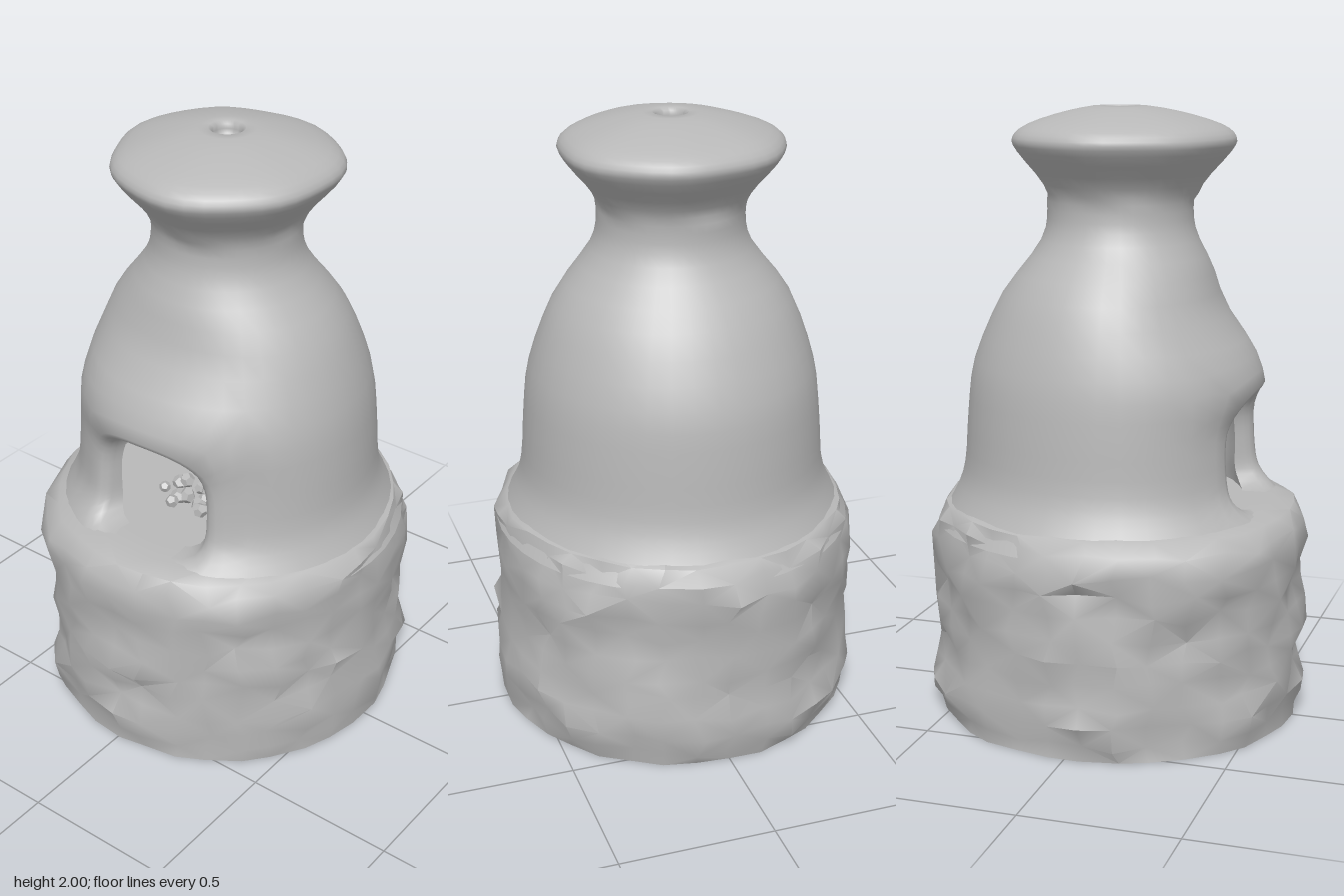
import * as THREE from 'three';
import { toCreasedNormals } from 'three/addons/utils/BufferGeometryUtils.js';

const clay = new THREE.MeshStandardMaterial({ color: 0xb8b8b8 });
clay.name = 'grey clay';

// repeatable pseudo-random number from two integers
const hash = (a, b) => {
  const s = Math.sin(a * 127.1 + b * 311.7) * 43758.5453;
  return s - Math.floor(s);
};

function addMesh(group, name, geometry) {
  const mesh = new THREE.Mesh(geometry, clay);
  mesh.name = name;
  group.add(mesh);
  return mesh;
}

function meshFromTriangles(positions, crease) {
  const g = new THREE.BufferGeometry();
  g.setAttribute('position', new THREE.Float32BufferAttribute(positions, 3));
  return toCreasedNormals(g, crease);
}

// Rough stone base: a lathe profile pushed in and out like packed rubble
function stoneBase() {
  const profile = [
    [0, 0], [0.585, 0], [0.588, 0.05], [0.6, 0.11], [0.598, 0.18], [0.59, 0.25], [0.597, 0.32],
    [0.592, 0.39], [0.592, 0.46], [0.598, 0.53], [0.606, 0.6], [0.595, 0.66], [0.56, 0.705],
    [0.5, 0.722], [0.4, 0.722], [0, 0.722],
  ];
  const segs = 34, pos = [];
  const point = (j, i) => {
    j %= segs;
    let [r, y] = profile[i];
    const rough = i > 1 && i < 12 ? 1 : i === 1 || i === 12 ? 0.4 : 0;
    const stone = hash(j >> 1, i >> 1) - 0.5;
    r += rough * (stone * 0.03 + (hash(j, i) - 0.5) * 0.03);
    if (i > 1 && i < 13) y += rough * (hash(i, j + 50) - 0.5) * 0.03;
    const a = ((j + rough * (hash(j + 9, i) - 0.5) * 0.4) / segs) * Math.PI * 2;
    return [r * Math.sin(a), y, 1.035 * r * Math.cos(a)];
  };
  for (let j = 0; j < segs; j++) {
    for (let i = 0; i < profile.length - 1; i++) {
      const a = point(j, i), b = point(j + 1, i), c = point(j + 1, i + 1), d = point(j, i + 1);
      if (i === 0) pos.push(...b, ...c, ...d);
      else if (i === profile.length - 2) pos.push(...a, ...b, ...d);
      else if ((i + j) % 2) pos.push(...a, ...b, ...d, ...b, ...c, ...d);
      else pos.push(...a, ...b, ...c, ...a, ...c, ...d);
    }
  }
  return meshFromTriangles(pos, 0.85);
}

// Bottle-shaped oven wall with an arched mouth, thick jamb, hollow inside and capped flue
function ovenBody() {
  const profile = new THREE.SplineCurve([
    [0.59, 0.64], [0.535, 0.735], [0.503, 0.83], [0.49, 1.0], [0.467, 1.18], [0.39, 1.4],
    [0.264, 1.57], [0.238, 1.67], [0.257, 1.75], [0.343, 1.855], [0.358, 1.9], [0.31, 1.94],
    [0.18, 1.98], [0.058, 1.997], [0.043, 1.96], [0, 1.935],
  ].map(p => new THREE.Vector2(...p))).getPoints(45);
  const cols = 40, half = 5, low = 1, high = 13;
  const pos = [];
  const theta = j => (j / cols) * Math.PI * 2;

  const radiusAt = y => {
    let i = 0;
    while (i < 24 && profile[i + 1].y < y) i++;
    const a = profile[i], b = profile[i + 1];
    return a.x + (b.x - a.x) * (y - a.y) / (b.y - a.y);
  };
  // domed oven chamber
  const chamberAt = y => 0.42 * Math.sqrt(Math.max(0, 1 - (Math.max(0, y - 0.88) / 0.44) ** 2));

  // point on the wall: front flattened above and beside the mouth, back fuller, cap uneven
  const place = (t, y, r) => {
    const c = Math.cos(t), front = Math.max(0, c) ** 2, back = Math.max(0, -c) ** 2;
    let k = 1 - 0.18 * front * Math.exp(-(((y - 1.38) / 0.13) ** 2));
    k -= 0.1 * front * front * (1 - THREE.MathUtils.smoothstep(y, 0.97, 1.12))
      * THREE.MathUtils.smoothstep(y, 0.68, 0.8);
    k += 0.03 * back * (1 - THREE.MathUtils.smoothstep(y, 1.15, 1.35));
    k -= 0.04 * back * Math.exp(-(((y - 1.5) / 0.13) ** 2));
    if (y > 1.72 && r > 0.1) k += 0.02 * Math.sin(3 * t + 1) + 0.015 * c + 0.012 * Math.sin(7 * t);
    return [r * k * Math.sin(t), y, r * k * c];
  };
  const quad = (a, b, c, d) => pos.push(...a, ...b, ...d, ...b, ...c, ...d);

  // grid of one wall side, leaving out the block around the mouth
  const grid = (rows, from, to, flip) => {
    for (let i = 0; i < rows.length - 1; i++) {
      for (let j = -half; j < cols - half; j++) {
        if (j < half && i >= from && i < to) continue;
        const p = (jj, ii) => place(theta(jj === cols - half ? -half : jj), rows[ii].y, rows[ii].x);
        const q = [p(j, i), p(j + 1, i), p(j + 1, i + 1), p(j, i + 1)];
        if (flip) q.reverse();
        quad(...q);
      }
    }
  };
  grid(profile, low, high, false);
  const chamber = profile.slice(low, high + 1).map(p => p.y).concat(1.285, 1.31, 1.32)
    .map(y => new THREE.Vector2(chamberAt(y), y));
  grid(chamber, 0, high - low, true);

  // block border, anticlockwise seen from the front
  const border = [];
  for (let j = -half; j < half; j++) border.push([theta(j), profile[low].y]);
  for (let i = low; i < high; i++) border.push([theta(half), profile[i].y]);
  for (let j = half; j > -half; j--) border.push([theta(j), profile[high].y]);
  for (let i = high; i > low; i--) border.push([theta(-half), profile[i].y]);

  // arch outline reached along the ray to each border point
  const cx = 0.022, cy = 0.902, size = 0.48;
  const arch = ([t, y], scale) => {
    const dx = t * size - cx, dy = y - cy, n = dy > 0 ? 2.4 : 5;
    const l = ((Math.abs(dx) / 0.22) ** n + (Math.abs(dy) / 0.182) ** n) ** (-1 / n);
    return [(cx + dx * l * scale) / size, cy + dy * l * scale];
  };
  const mix = (p, s) => {
    const e = arch(p, 1.16);
    return [p[0] + (e[0] - p[0]) * s, p[1] + (e[1] - p[1]) * s];
  };
  // rings: outer wall, rounded lip, jamb, chamber wall
  const outer = depth => y => radiusAt(y) - depth;
  const rings = [
    [p => p, outer(0)], [p => mix(p, 0.35), outer(0)], [p => mix(p, 0.7), outer(0)],
    [p => mix(p, 1), outer(0)], [p => arch(p, 1.07), outer(0.008)],
    [p => arch(p, 1.015), outer(0.025)], [p => arch(p, 1), outer(0.045)],
    [p => arch(p, 1.01), chamberAt], [p => mix(p, 0.5), chamberAt], [p => p, chamberAt],
  ].map(([f, radius]) => border.map(b => {
    const [t, y] = f(b);
    return place(t, y, radius(y));
  }));
  for (let k = 0; k < rings.length - 1; k++) {
    for (let i = 0; i < border.length; i++) {
      const n = (i + 1) % border.length;
      quad(rings[k][i], rings[k][n], rings[k + 1][n], rings[k + 1][i]);
    }
  }
  return meshFromTriangles(pos, 1.1);
}

export function createModel() {
  const model = new THREE.Group();
  model.name = 'clayOven';
  addMesh(model, 'stoneBase', stoneBase());
  addMesh(model, 'ovenBody', ovenBody());

  // Small heap of coals on the oven floor
  const coals = new THREE.Group();
  coals.name = 'coals';
  const lump = toCreasedNormals(new THREE.DodecahedronGeometry(0.025), 0.1);
  for (let i = 0; i < 24; i++) {
    const a = i * 2.4 + hash(i, 6), r = 0.15 * Math.sqrt(i / 24);
    const coal = addMesh(coals, 'coal', lump);
    coal.position.set(0.01 + r * Math.cos(a), 0.733 + 0.02 * hash(i, 3), 0.12 + r * Math.sin(a));
    coal.rotation.set(hash(i, 1) * 6, hash(i, 2) * 6, 0);
    coal.scale.setScalar(0.75 + 0.4 * hash(i, 4));
  }
  model.add(coals);
  return model;
}
